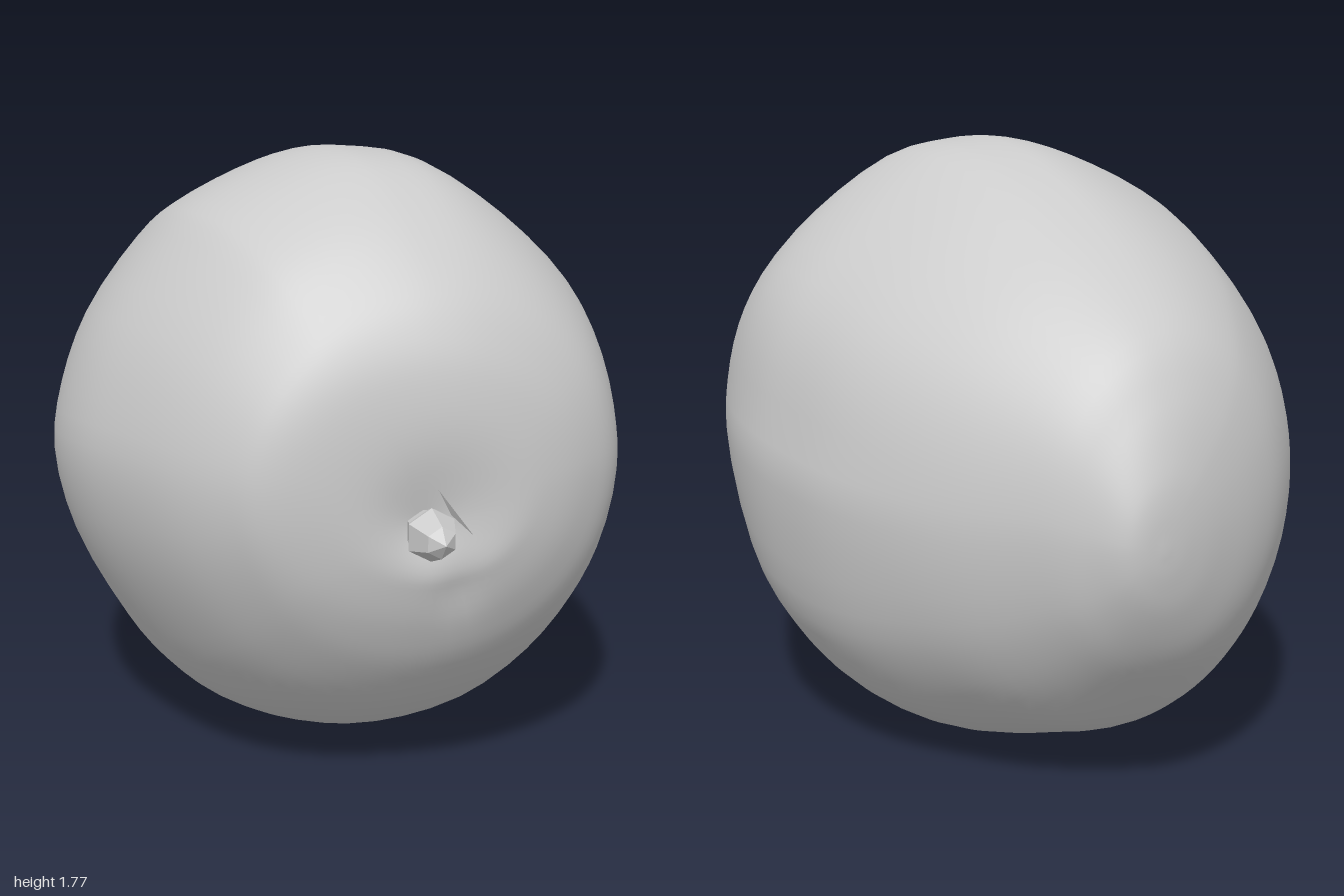
import * as THREE from 'three';

const material = new THREE.MeshStandardMaterial({ color: 0xcccccc });
const curve = (points, closed = false) => new THREE.CatmullRomCurve3(
  points.map(([x, y, z = 0]) => new THREE.Vector3(x, y, z)), closed, 'catmullrom', 0.5);

// Widest cross-section of the fruit, clockwise from the top
const OUTLINE = [
  [0.05, 1.77], [0.22, 1.735], [0.43, 1.59], [0.63, 1.4], [0.73, 1.22], [0.78, 1.0], [0.8, 0.83],
  [0.75, 0.5], [0.66, 0.31], [0.52, 0.15], [0.3, 0.03], [0.02, 0.0], [-0.2, 0.04], [-0.37, 0.12],
  [-0.5, 0.24], [-0.6, 0.38], [-0.74, 0.65], [-0.8, 0.9], [-0.77, 1.1], [-0.68, 1.32],
  [-0.51, 1.55], [-0.41, 1.635], [-0.22, 1.725], [-0.07, 1.77],
];

// Stations from back tip to front dimple: z, left x, right x, bottom y, top y
const STATIONS = [
  [-1.0, 0.16, 0.16, 0.8, 0.8], [-0.992, 0.07, 0.23, 0.71, 0.92], [-0.965, -0.05, 0.28, 0.6, 1.03],
  [-0.9, -0.23, 0.34, 0.46, 1.19], [-0.8, -0.385, 0.43, 0.34, 1.34], [-0.6, -0.57, 0.57, 0.16, 1.49],
  [-0.4, -0.695, 0.68, 0.075, 1.6], [-0.2, -0.765, 0.755, 0.02, 1.69], [0, -0.8, 0.79, 0, 1.75],
  [0.2, -0.785, 0.8, 0.025, 1.77], [0.4, -0.72, 0.77, 0.09, 1.74], [0.6, -0.625, 0.7, 0.23, 1.63],
  [0.75, -0.53, 0.61, 0.39, 1.49], [0.83, -0.45, 0.49, 0.53, 1.37], [0.873, -0.32, 0.36, 0.65, 1.24],
  [0.885, -0.16, 0.22, 0.73, 1.07], [0.85, 0, 0, 0.85, 0.85],
];

function fruitGeometry(rings = 72, sides = 72) {
  const outline = curve(OUTLINE, true);
  const widths = curve(STATIONS.map(([z, l, r]) => [z, l, r]));
  const heights = curve(STATIONS.map(([z, , , b, t]) => [z, b, t]));
  const position = [], index = [];
  for (let i = 0; i <= rings; i++) {
    const w = widths.getPoint(i / rings), h = heights.getPoint(i / rings);
    // The lumpy outline eases into an ellipse towards both ends
    const round = 0.1 + 0.8 * THREE.MathUtils.smoothstep(Math.abs(w.x - 0.1), 0.1, 0.75);
    const front = THREE.MathUtils.smoothstep(w.x, 0.5, 0.9);
    for (let j = 0; j < sides; j++) {
      const p = outline.getPoint(j / sides);
      const u = p.x / 0.8, v = (p.y - 0.885) / 0.885;
      const scale = THREE.MathUtils.lerp(1, 1 / Math.hypot(u, v), round);
      const x = (w.y + w.z) / 2 + (w.z - w.y) / 2 * u * scale;
      const y = (h.y + h.z) / 2 + (h.z - h.y) / 2 * v * scale;
      // Front face set back on one side, with a soft crease running down from the stem
      const slant = 0.025 * Math.tanh(x / 0.2) - 0.015;
      const crease = 0.015 * Math.exp(-(((x - 0.1) / 0.06) ** 2) - ((y - 0.66) / 0.1) ** 2);
      position.push(x, y, w.x + front * (slant - crease));
      if (i < rings) {
        const k = (j + 1) % sides, a = i * sides + j, b = i * sides + k;
        if (i < rings - 1) index.push(a, a + sides, b + sides);
        else index.push(a, a + sides, b);
        if (i > 0 && i < rings - 1) index.push(a, b + sides, b);
      }
    }
  }
  const geometry = new THREE.BufferGeometry();
  geometry.setAttribute('position', new THREE.Float32BufferAttribute(position, 3));
  geometry.setIndex(index);
  geometry.computeVertexNormals();
  // The rings at both ends collapse to a point: give them one shared normal
  const normal = geometry.attributes.normal;
  for (let j = 0; j < sides; j++) {
    normal.setXYZ(j, 0, 0, -1);
    normal.setXYZ(rings * sides + j, 0, 0, 1);
  }
  return geometry;
}

export function createModel() {
  const model = new THREE.Group();
  const fruit = new THREE.Mesh(fruitGeometry(), material);
  fruit.name = 'fruit';

  // Faceted stub of a stem, knobbly and pointing forward
  const profile = [[0, -0.06], [0.04, -0.04], [0.06, 0.03], [0.075, 0.06], [0.045, 0.13], [0, 0.16]]
    .map(([r, y]) => new THREE.Vector2(r, y));
  const flat = material.clone();
  flat.flatShading = true;
  flat.side = THREE.DoubleSide;
  const stem = new THREE.Mesh(new THREE.LatheGeometry(profile, 6), flat);
  stem.name = 'stem';
  stem.rotation.x = Math.PI / 2;
  stem.position.set(-0.005, 0.842, 0.84);

  // Thin sliver of sepal beside the stem
  const sliver = new THREE.BufferGeometry().setFromPoints([
    new THREE.Vector3(0.02, 0.96, 0.885), new THREE.Vector3(0.065, 0.88, 0.87),
    new THREE.Vector3(0.125, 0.82, 0.885)]);
  sliver.computeVertexNormals();
  const sepal = new THREE.Mesh(sliver, flat);
  sepal.name = 'sepal';

  model.add(fruit, stem, sepal);
  return model;
}
